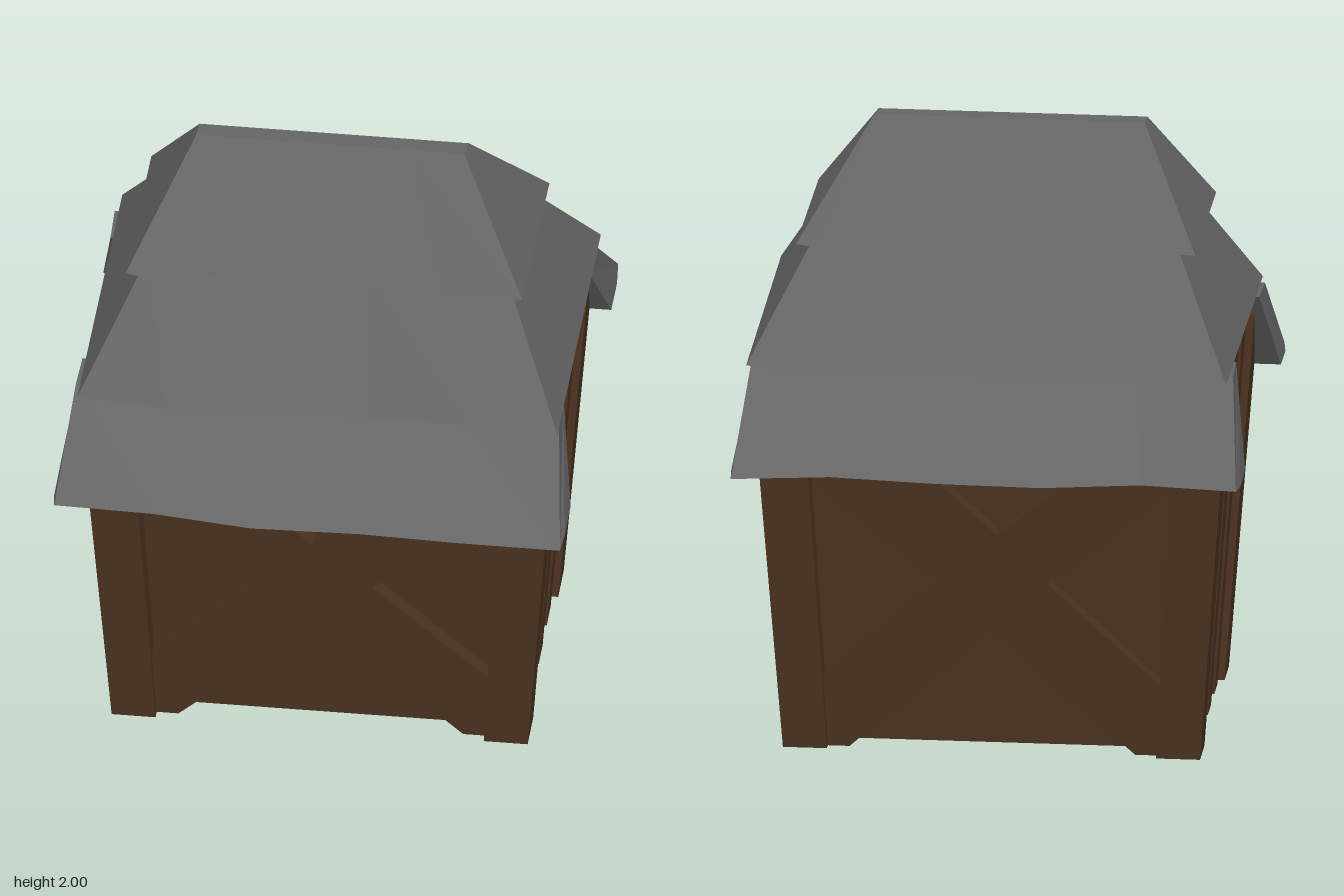
import * as THREE from 'three';

const wood = new THREE.MeshStandardMaterial({ color: 0x4a3220, flatShading: true });
const slate = new THREE.MeshStandardMaterial({ color: 0x656565, flatShading: true });

// Closed solid through equal-length rings of [x, y, z] points, turned outward
function loft(rings) {
  const n = rings[0].length, last = (rings.length - 1) * n, idx = [];
  const p = rings.flat();
  for (let r = 0; r < rings.length - 1; r++) {
    for (let i = 0; i < n; i++) {
      const a = r * n + i, b = r * n + (i + 1) % n;
      idx.push(a, b, b + n, a, b + n, a + n);
    }
  }
  for (let i = 1; i < n - 1; i++) {
    idx.push(0, i + 1, i, last, last + i, last + i + 1);
  }
  let volume = 0;
  const v = p.map(q => new THREE.Vector3(...q));
  for (let i = 0; i < idx.length; i += 3) {
    volume += v[idx[i]].dot(v[idx[i + 1]].clone().cross(v[idx[i + 2]]));
  }
  if (volume < 0) idx.reverse();
  const g = new THREE.BufferGeometry().setFromPoints(v);
  g.setIndex(idx);
  const flat = g.toNonIndexed();
  flat.computeVertexNormals();
  return flat;
}

// Walls lean outward as they rise
function lean(g) {
  const p = g.attributes.position;
  for (let i = 0; i < p.count; i++) {
    const y = p.getY(i);
    p.setX(i, p.getX(i) * (1 + 0.112 * y) + 0.005);
    p.setZ(i, p.getZ(i) * (1 + 0.126 * y));
  }
  g.computeVertexNormals();
  return g;
}

// Height of the gable slope at depth z
const gableY = z => Math.min(1.3, 1.02 + (0.475 - Math.abs(z)) * 1.5);

// Prism along x from a z-y profile
const prism = (x0, x1, profile) =>
  lean(loft([x0, x1].map(x => profile.map(([z, y]) => [x, y, z]))));

const boardProfile = (z0, z1, y0) => [[z0, y0], [z1, y0], [z1, gableY(z1)], [z0, gableY(z0)]];

export function createModel() {
  const model = new THREE.Group();
  const add = (name, geometry, material) => {
    const m = new THREE.Mesh(geometry, material);
    m.name = name;
    model.add(m);
  };

  // Wall core with gable ends
  add('wallCore', prism(-0.61, 0.61, [
    [-0.39, 0.01], [0.39, 0.01], [0.39, gableY(0.39)],
    [0.288, 1.3], [-0.288, 1.3], [-0.39, gableY(0.39)],
  ]), wood);

  // Corner posts and raised side planks
  for (const s of [1, -1]) {
    for (const t of [1, -1]) {
      add('cornerPost', prism(s * 0.53, s * 0.672, boardProfile(t * 0.33, t * 0.475, 0)), wood);
    }
    for (const z of [-0.21, 0, 0.21]) {
      add('sidePlank', prism(s * 0.6, s * 0.655, boardProfile(z - 0.053, z + 0.053, 0.01)), wood);
    }
  }

  // Crossed braces on the front and back
  const cross = new THREE.Shape([
    [-0.54, 0], [-0.46, 0], [0, 0.42], [0.46, 0], [0.54, 0], [0.54, 0.23],
    [0.16, 0.58], [0.54, 0.93], [0.54, 1.03], [0.26, 1.03], [-0.02, 0.74],
    [-0.32, 1.03], [-0.54, 1.03], [-0.54, 0.93], [-0.17, 0.58], [-0.54, 0.23],
  ].map(q => new THREE.Vector2(...q)));
  for (const [name, z] of [['frontBrace', 0.38], ['backBrace', -0.445]]) {
    const g = new THREE.ExtrudeGeometry(cross, { depth: 0.065, bevelEnabled: false });
    add(name, lean(g.translate(0, 0, z)), wood);
  }

  // Eave slabs with uneven lower edges: [x, y, z] along each edge
  const eaves = {
    frontEave: [[-0.82, 1.01, 0.74], [-0.5, 1.015, 0.755], [-0.18, 1, 0.775],
      [0.17, 1.005, 0.77], [0.48, 1.005, 0.78], [0.815, 0.982, 0.75]],
    backEave: [[-0.81, 1.005, -0.755], [-0.5, 1.01, -0.735], [-0.18, 1, -0.765],
      [0.16, 1.005, -0.77], [0.5, 1.01, -0.75], [0.815, 1.005, -0.785]],
  };
  for (const [name, edge] of Object.entries(eaves)) {
    const s = Math.sign(edge[0][2]);
    add(name, loft(edge.map(([x, y, z]) => [
      [x * 0.95, 1.3, s * 0.33], [x * 0.955, 1.3, s * 0.475], [x, y, z],
      [x * 1.01, 1, s * 0.685], [x * 1.01, 1.005, s * 0.535],
    ])), slate);
  }

  // Hipped roof tiers: slope, uneven rim, level underside
  const tier = (name, top, base, rim) => {
    const rx = Math.max(...rim.map(q => Math.abs(q[0])));
    const upper = rim.map(([x, , z]) => [x / rx * top.x + top.dx, top.y, Math.sign(z) * top.z]);
    const under = rim.map(([x, , z]) => [x * 0.95, base, z * 0.88]);
    add(name, loft([upper, rim, under]), slate);
  };
  tier('middleRoof', { x: 0.59, y: 1.67, z: 0.25, dx: 0 }, 1.3, [
    [-0.77, 1.3, 0.54], [-0.48, 1.303, 0.575], [-0.2, 1.303, 0.56],
    [0.17, 1.306, 0.545], [0.5, 1.315, 0.56], [0.785, 1.308, 0.57],
    [0.79, 1.305, -0.53], [0.49, 1.29, -0.565], [0.17, 1.3, -0.54],
    [-0.18, 1.295, -0.565], [-0.48, 1.295, -0.565], [-0.76, 1.3, -0.565],
  ]);
  tier('topRoof', { x: 0.44, y: 2, z: 0.03, dx: -0.015 }, 1.645, [
    [-0.64, 1.65, 0.33], [-0.57, 1.64, 0.335], [-0.37, 1.66, 0.305], [-0.13, 1.64, 0.335],
    [0.14, 1.655, 0.3], [0.38, 1.635, 0.315], [0.64, 1.655, 0.325],
    [0.65, 1.65, -0.32], [0.58, 1.65, -0.35], [0.36, 1.645, -0.35], [0.12, 1.655, -0.305],
    [-0.1, 1.655, -0.3], [-0.33, 1.65, -0.315], [-0.635, 1.65, -0.31],
  ]);

  return model;
}
